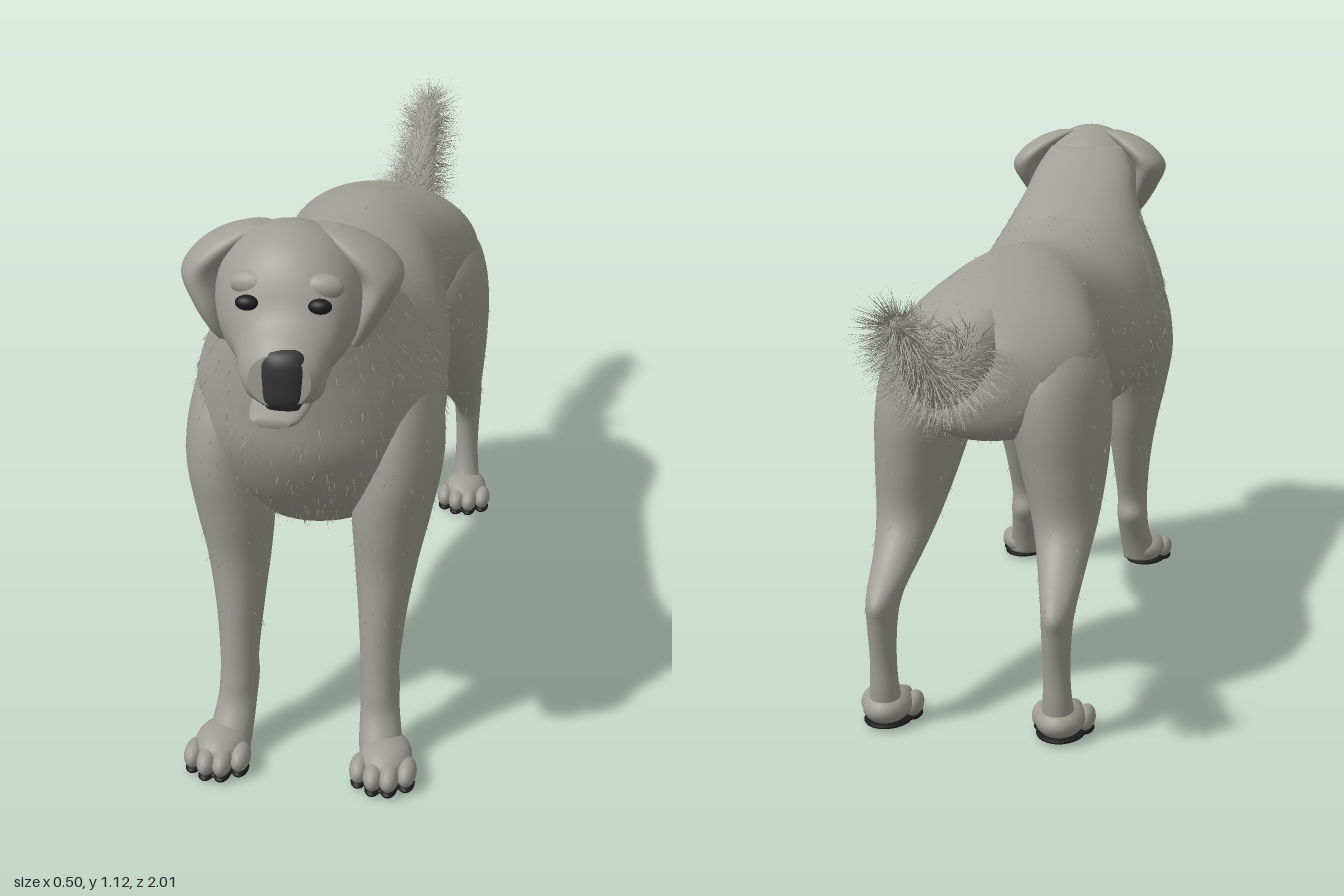
import * as THREE from 'three';

const mat = (name, hex, side = THREE.FrontSide) => {
  const m = new THREE.MeshStandardMaterial({ color: hex, side });
  m.name = name;
  return m;
};

// Smooth closed loft through elliptical rows [t, a0, a1, b0, b1].
// axis 'z': t = z, a = y range, b = x range; axis 'y': t = y, a = z range, b = x range
function loft(rows, axis, sub = 5, seg = 36) {
  const rings = [];
  const at = (i) => rows[Math.max(0, Math.min(rows.length - 1, i))];
  for (let i = 0; i < rows.length - 1; i++) {
    for (let s = 0; s < sub || (i === rows.length - 2 && s === sub); s++) {
      const u = s / sub;
      rings.push(rows[0].map((_, k) => {
        const [p, q, r, w] = [at(i - 1)[k], at(i)[k], at(i + 1)[k], at(i + 2)[k]];
        return q + 0.5 * u * (r - p + u * (2 * p - 5 * q + 4 * r - w + u * (3 * (q - r) + w - p)));
      }));
    }
  }
  const point = ([t, a0, a1, b0, b1]) => [t, (a0 + a1) / 2, (a0 + a1) / 2, (b0 + b1) / 2, (b0 + b1) / 2];
  rings.unshift(point(rings[0]));
  rings.push(point(rings[rings.length - 1]));
  const pos = [], idx = [];
  rings.forEach(([t, a0, a1, b0, b1], i) => {
    for (let j = 0; j < seg; j++) {
      const th = (j / seg) * Math.PI * 2;
      const x = (b0 + b1) / 2 + ((b1 - b0) / 2) * Math.cos(th);
      const h = ((a1 - a0) / 2) * Math.sin(th), c = (a0 + a1) / 2;
      if (axis === 'z') pos.push(x, c + h, t);
      else pos.push(x, t, c - h);
      if (i < rings.length - 1) {
        const k = (j + 1) % seg, n = i * seg;
        idx.push(n + j, n + k, n + seg + k, n + j, n + seg + k, n + seg + j);
      }
    }
  });
  const g = new THREE.BufferGeometry();
  g.setAttribute('position', new THREE.Float32BufferAttribute(pos, 3));
  g.setIndex(idx);
  g.computeVertexNormals();
  return g;
}

// Thin tapered strands scattered over a geometry, combed along a flow direction
function strands(geo, count, length, width, flow, lift, keep = () => true) {
  let seed = 7;
  const rnd = () => (seed = (seed * 16807) % 2147483647) / 2147483647;
  const P = geo.attributes.position, N = geo.attributes.normal, I = geo.index, pos = [];
  const p = new THREE.Vector3(), n = new THREE.Vector3(), v = new THREE.Vector3(), side = new THREE.Vector3();
  for (let c = 0; c < count; c++) {
    const f = 3 * Math.floor((rnd() * I.count) / 3);
    let a = rnd(), b = rnd();
    if (a + b > 1) { a = 1 - a; b = 1 - b; }
    p.set(0, 0, 0); n.set(0, 0, 0);
    [1 - a - b, a, b].forEach((w, k) => {
      p.addScaledVector(v.fromBufferAttribute(P, I.getX(f + k)), w);
      n.addScaledVector(v.fromBufferAttribute(N, I.getX(f + k)), w);
    });
    if (!keep(p)) continue;
    n.multiplyScalar(lift).add(flow).add(v.set(rnd() - 0.5, rnd() - 0.5, rnd() - 0.5).multiplyScalar(0.6)).normalize();
    side.set(rnd() - 0.5, rnd() - 0.5, rnd() - 0.5).cross(n).setLength(width / 2);
    const len = length * (0.5 + rnd() * 0.6);
    pos.push(p.x - side.x, p.y - side.y, p.z - side.z, p.x + side.x, p.y + side.y, p.z + side.z,
      p.x + n.x * len, p.y + n.y * len, p.z + n.z * len);
  }
  const g = new THREE.BufferGeometry();
  g.setAttribute('position', new THREE.Float32BufferAttribute(pos, 3));
  g.computeVertexNormals();
  return g;
}

export function createModel() {
  const coat = mat('coat grey', 0x9f9d95, THREE.DoubleSide);
  const noseMat = mat('nose charcoal', 0x353536);
  const black = mat('pad black', 0x1c1c1c);
  const root = new THREE.Group();
  root.name = 'dog';
  const add = (name, geo, m, parent = root) => {
    const mesh = new THREE.Mesh(geo, m);
    mesh.name = name;
    parent.add(mesh);
    return mesh;
  };
  const blob = (name, m, x, y, z, sx, sy, sz, parent) => {
    const mesh = add(name, new THREE.SphereGeometry(1, 20, 14), m, parent);
    mesh.position.set(x, y, z);
    mesh.scale.set(sx, sy, sz);
    return mesh;
  };
  const sym = (rows, cx = 0) => rows.map(([t, a0, a1, w]) => [t, a0, a1, cx - w, cx + w]);
  const sided = (rows, s) => rows.map(([t, a0, a1, b0, b1]) => [t, a0, a1, Math.min(s * b0, s * b1), Math.max(s * b0, s * b1)]);

  // Torso and neck
  const torso = loft(sym([
    [-0.45, 0.67, 0.78, 0.08], [-0.425, 0.6, 0.808, 0.15], [-0.35, 0.57, 0.845, 0.2],
    [-0.25, 0.57, 0.885, 0.215], [-0.1, 0.59, 0.915, 0.182], [0, 0.55, 0.92, 0.172],
    [0.1, 0.515, 0.91, 0.19], [0.25, 0.475, 0.9, 0.215], [0.4, 0.455, 0.925, 0.222],
    [0.5, 0.462, 0.95, 0.22], [0.6, 0.48, 0.95, 0.21], [0.68, 0.53, 0.9, 0.18], [0.735, 0.6, 0.82, 0.11],
  ]), 'z', 5, 48);
  add('torso', torso, coat);
  const neck = loft(sym([
    [0.48, 0.4, 0.64, 0.12], [0.56, 0.3, 0.72, 0.2], [0.66, 0.22, 0.776, 0.235], [0.75, 0.24, 0.79, 0.228],
    [0.83, 0.3, 0.797, 0.198], [0.9, 0.37, 0.805, 0.162], [0.96, 0.48, 0.81, 0.137],
    [1.02, 0.6, 0.81, 0.118], [1.07, 0.68, 0.8, 0.09],
  ]), 'y', 5, 48);
  add('neckAndChest', neck, coat);
  const fold = blob('bellyFold', coat, 0, 0.558, -0.015, 0.026, 0.03, 0.075);
  fold.rotation.x = 0.35;

  // Head
  const head = new THREE.Group();
  head.name = 'head';
  root.add(head);
  add('skullAndMuzzle', loft([
    [0.62, 0.86, 1.0, -0.09, 0.09], [0.7, 0.86, 1.085, -0.118, 0.12], [0.79, 0.855, 1.118, -0.128, 0.132],
    [0.86, 0.855, 1.105, -0.112, 0.126], [0.905, 0.862, 1.062, -0.083, 0.109],
    [0.935, 0.86, 1.0, -0.062, 0.094], [0.968, 0.85, 0.968, -0.05, 0.086], [0.988, 0.858, 0.95, -0.032, 0.072],
  ], 'z', 6, 40), coat, head);
  add('lowerJaw', loft(sym([
    [0.76, 0.815, 0.89, 0.065], [0.82, 0.812, 0.876, 0.06], [0.87, 0.812, 0.862, 0.055], [0.92, 0.813, 0.849, 0.05],
    [0.965, 0.814, 0.843, 0.043], [0.987, 0.82, 0.838, 0.03],
  ], 0.006), 'z'), coat, head);
  add('mouthInside', loft(sym([[0.8, 0.835, 0.875, 0.042], [0.87, 0.834, 0.88, 0.042], [0.945, 0.834, 0.88, 0.034]], 0.01), 'z'), black, head);
  add('nose', loft([
    [0.852, 0.965, 0.985, -0.004, 0.05], [0.87, 0.96, 0.996, -0.011, 0.058], [0.9, 0.96, 0.999, -0.012, 0.061],
    [0.93, 0.955, 1.0, -0.013, 0.063], [0.948, 0.955, 0.992, -0.009, 0.059], [0.957, 0.96, 0.98, 0.002, 0.047],
  ], 'y'), noseMat, head);
  for (const s of [1, -1]) {
    const side = s > 0 ? 'left' : 'right';
    blob(side + 'Eye', black, 0.015 + s * 0.061, 1.013, 0.92, 0.02, 0.013, 0.014, head);
    blob(side + 'Brow', coat, 0.015 + s * 0.054, 1.036, 0.888, 0.042, 0.024, 0.023, head);
    blob(side + 'Lip', coat, 0.019 + s * 0.036, 0.888, 0.938, 0.034, 0.036, 0.044, head);
    add(side + 'Ear', loft(sided([
      [0.905, 0.785, 0.815, 0.108, 0.126], [0.93, 0.762, 0.83, 0.108, 0.145], [0.97, 0.725, 0.84, 0.112, 0.17],
      [1.02, 0.695, 0.838, 0.118, 0.192], [1.06, 0.7, 0.832, 0.085, 0.168], [1.09, 0.725, 0.815, 0.05, 0.125],
      [1.106, 0.75, 0.795, 0.03, 0.08],
    ], s), 'y'), coat, head);
  }

  // Legs and paws
  const foreRows = [
    [0.02, 0.67, 0.765, 0.108, 0.193], [0.06, 0.655, 0.75, 0.104, 0.186], [0.11, 0.63, 0.72, 0.102, 0.177],
    [0.15, 0.61, 0.712, 0.1, 0.175], [0.2, 0.614, 0.705, 0.1, 0.174], [0.3, 0.568, 0.7, 0.092, 0.184],
    [0.4, 0.525, 0.697, 0.082, 0.202], [0.5, 0.49, 0.71, 0.075, 0.225], [0.6, 0.43, 0.72, 0.08, 0.243],
    [0.7, 0.4, 0.7, 0.09, 0.235], [0.79, 0.41, 0.64, 0.1, 0.205], [0.85, 0.46, 0.58, 0.1, 0.16],
  ];
  const hindRows = [
    [0.03, -0.515, -0.42, 0.14, 0.216], [0.08, -0.522, -0.455, 0.147, 0.207], [0.15, -0.528, -0.466, 0.15, 0.203],
    [0.23, -0.545, -0.455, 0.147, 0.206], [0.28, -0.55, -0.405, 0.142, 0.21], [0.35, -0.475, -0.32, 0.118, 0.218],
    [0.42, -0.43, -0.25, 0.095, 0.228], [0.52, -0.438, -0.165, 0.065, 0.238], [0.62, -0.45, -0.105, 0.04, 0.24],
    [0.71, -0.437, -0.09, 0.03, 0.226], [0.78, -0.385, -0.13, 0.04, 0.185], [0.82, -0.33, -0.19, 0.05, 0.13],
  ];
  const legs = [];
  for (const s of [1, -1]) {
    for (const [kind, rows, px, front] of [['Front', foreRows, 0.16, 0.83], ['Hind', hindRows, 0.178, -0.37]]) {
      const leg = new THREE.Group();
      leg.name = (s > 0 ? 'left' : 'right') + kind + 'Leg';
      root.add(leg);
      const geo = loft(sided(rows, s), 'y', 5, 32);
      legs.push(geo);
      add('limb', geo, coat, leg);
      const x = s * px;
      blob('paw', coat, x, 0.042, front - 0.095, 0.05, 0.036, 0.068, leg);
      blob('solePad', black, x, 0.01, front - 0.085, 0.05, 0.01, 0.068, leg);
      for (let i = 0; i < 4; i++) {
        const o = i - 1.5, back = Math.abs(o) > 1 ? 0.022 : 0;
        blob('toe', coat, x + o * 0.03, 0.033, front - 0.038 - back, 0.019, 0.025, 0.037, leg);
        blob('toePad', black, x + o * 0.03, 0.009, front - 0.035 - back, 0.016, 0.009, 0.029, leg);
      }
    }
  }

  // Tail: tube tapered toward the tip
  const path = new THREE.CatmullRomCurve3([
    [0, 0.785, -0.34], [0.01, 0.765, -0.45], [0.015, 0.74, -0.55], [0.02, 0.742, -0.64],
    [0.02, 0.8, -0.76], [0.02, 0.88, -0.88], [0.02, 0.905, -0.94],
  ].map((p) => new THREE.Vector3(...p)));
  const tail = new THREE.TubeGeometry(path, 48, 1, 20);
  const tp = tail.attributes.position, v = new THREE.Vector3();
  for (let i = 0; i < tp.count; i++) {
    const u = Math.floor(i / 21) / 48, c = path.getPointAt(u);
    const r = (0.06 - 0.034 * u) * Math.sqrt(Math.min(1, (1 - u) * 12));
    v.fromBufferAttribute(tp, i).sub(c).multiplyScalar(r).add(c);
    tp.setXYZ(i, v.x, v.y, v.z);
  }
  tail.computeVertexNormals();
  add('tail', tail, coat);

  // Fur: long on the tail, short on chest, neck and legs
  const back = new THREE.Vector3(0, -0.15, -0.7), down = new THREE.Vector3(0, -1, -0.2);
  add('tailFur', strands(tail, 3200, 0.075, 0.0015, back, 0.85, (p) => p.z < -0.46), coat);
  add('neckFur', strands(neck, 2200, 0.022, 0.0014, down, 0.5, (p) => p.y < 0.93), coat);
  add('torsoFur', strands(torso, 1200, 0.016, 0.0014, new THREE.Vector3(0, -0.4, -0.9), 0.4), coat);
  legs.forEach((g) => add('legFur', strands(g, 300, 0.015, 0.0014, down, 0.5, (p) => p.y > 0.25), coat));
  return root;
}
